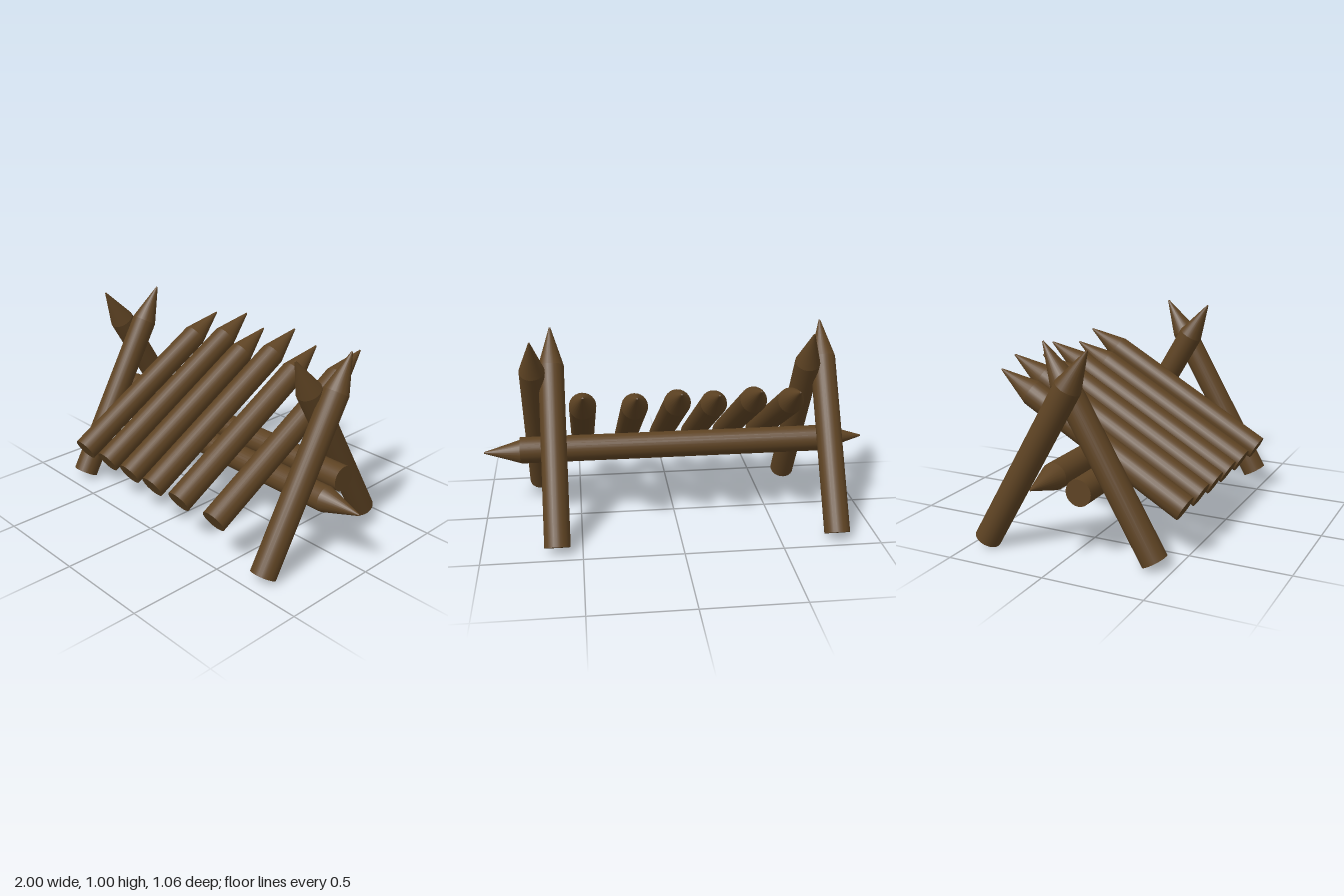
import * as THREE from 'three';
import { mergeGeometries } from 'three/addons/utils/BufferGeometryUtils.js';

const RADIUS = 0.065, POINT = 0.2, SIDES = 24;

// A log along +y from the origin: round shaft, flat foot and sharpened point
function logGeometry(length) {
  const shaftLength = length - POINT;
  const shaft = new THREE.CylinderGeometry(RADIUS, RADIUS, shaftLength, SIDES);
  shaft.translate(0, shaftLength / 2, 0);
  const point = new THREE.CylinderGeometry(0.004, RADIUS, POINT, SIDES);
  point.translate(0, shaftLength + POINT / 2, 0);
  return mergeGeometries([shaft, point]);
}

export function createModel() {
  const group = new THREE.Group();
  const wood = new THREE.MeshStandardMaterial({ color: 0x5e4323 });
  wood.name = 'brown wood';
  const up = new THREE.Vector3(0, 1, 0);

  // Places a log from the centre of its foot to its tip
  function addLog(name, foot, tip) {
    const from = new THREE.Vector3(...foot);
    const dir = new THREE.Vector3(...tip).sub(from);
    const log = new THREE.Mesh(logGeometry(dir.length()), wood);
    log.name = name;
    log.position.copy(from);
    log.quaternion.setFromUnitVectors(up, dir.normalize());
    group.add(log);
  }

  // Crossed legs at each end
  for (const x of [-0.69, 0.72]) addLog('frontLeg', [x, 0.035, 0.41], [x, 1.004, -0.15]);
  for (const x of [-0.79, 0.625]) addLog('backLeg', [x, 0.035, -0.427], [x, 1.004, 0.133]);

  // Two rails pointing in opposite directions
  addLog('frontRail', [-0.8, 0.347, 0.08], [1, 0.347, 0.08]);
  addLog('backRail', [0.8, 0.408, -0.045], [-1, 0.408, -0.045]);

  // Slanted stakes resting on the rails
  for (const x of [-0.35, 0.022, 0.475]) addLog('longStake', [x, 0.254, 0.497], [x, 0.845, -0.527]);
  for (const x of [-0.548, -0.163, 0.224]) addLog('shortStake', [x, 0.254, 0.497], [x, 0.815, -0.475]);

  return group;
}
